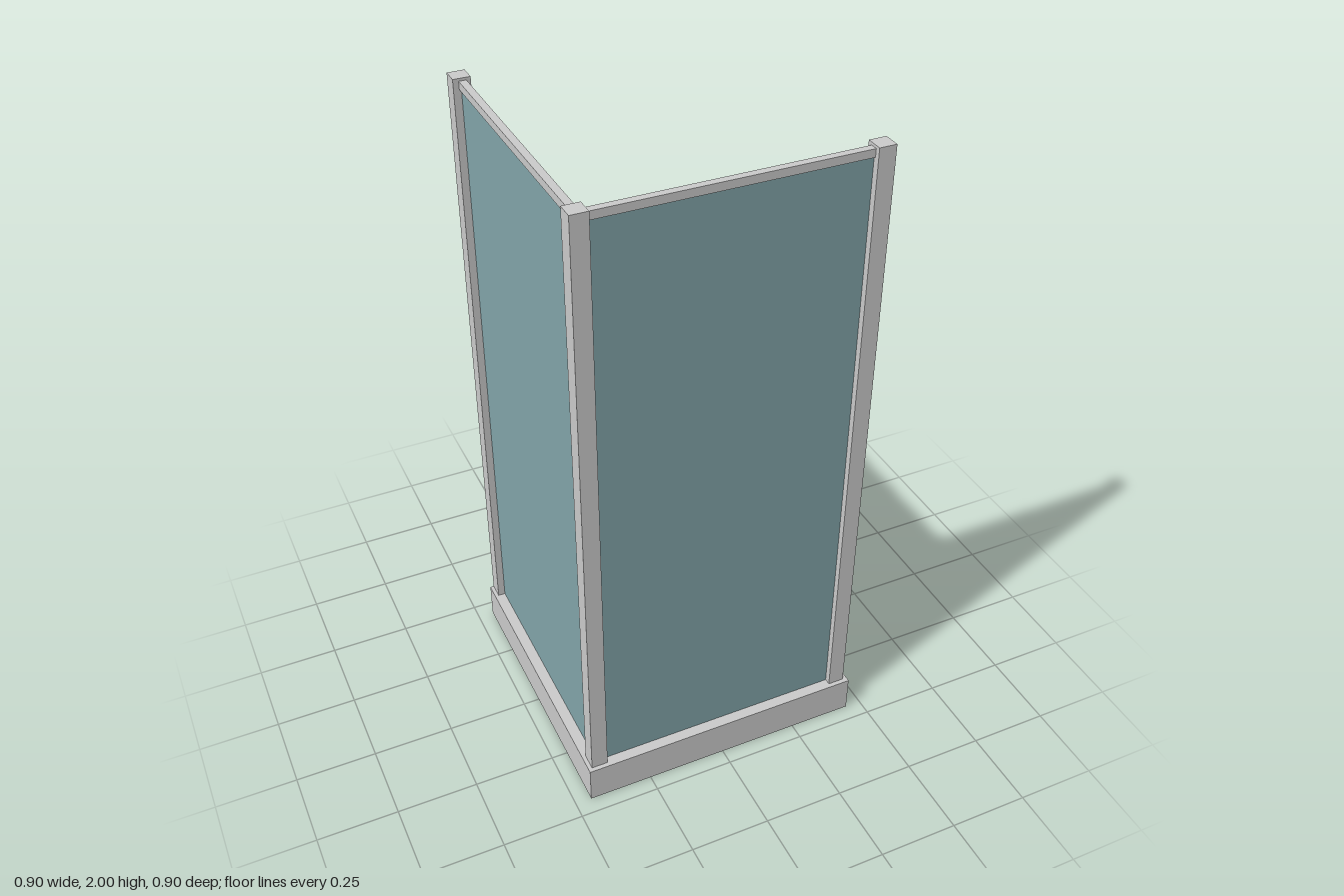
import * as THREE from 'three';

export function createModel() {
  const group = new THREE.Group();
  const mat = (color) => new THREE.MeshStandardMaterial({ color });
  const grey = mat(0xcccccc);
  const glass = mat(0x82a5aa);
  const dark = mat(0x333333);

  const add = (name, geometry, material, x, y, z) => {
    const mesh = new THREE.Mesh(geometry, material);
    mesh.name = name;
    mesh.position.set(x, y, z);
    group.add(mesh);
    return mesh;
  };
  // Box given by its min and max corners
  const box = (name, material, [x0, y0, z0], [x1, y1, z1]) =>
    add(name, new THREE.BoxGeometry(x1 - x0, y1 - y0, z1 - z0), material,
      (x0 + x1) / 2, (y0 + y1) / 2, (z0 + z1) / 2);

  const outer = 0.4495, inner = 0.3745; // half widths of tray and basin
  const rimTop = 0.12, floorTop = 0.07, top = 2;

  // Tray rim: square ring around the basin
  const square = (shape, h) =>
    shape.moveTo(-h, -h).lineTo(h, -h).lineTo(h, h).lineTo(-h, h).closePath();
  const ring = square(new THREE.Shape(), outer);
  ring.holes.push(square(new THREE.Path(), inner));
  const rim = new THREE.ExtrudeGeometry(ring, { depth: rimTop, bevelEnabled: false });
  rim.rotateX(-Math.PI / 2);
  add('trayRim', rim, grey, 0, 0, 0);

  // Basin underside, dark floor and drain
  box('trayBase', grey, [-inner, 0, -inner], [inner, 0.06, inner]);
  box('basinFloor', dark, [-inner, 0.06, -inner], [inner, floorTop, inner]);
  add('drain', new THREE.CylinderGeometry(0.041, 0.041, 0.018, 10), grey, 0.234, floorTop + 0.009, -0.246);

  // Corner posts
  const post = 0.051, edge = 0.41; // post width, centre line of both walls
  const backZ = -outer + post / 2;
  for (const [name, x, z] of [
    ['frontRightPost', -edge - 0.002, edge],
    ['frontLeftPost', edge, edge],
    ['backRightPost', -edge - 0.002, backZ],
  ]) {
    add(name, new THREE.BoxGeometry(post, top - rimTop, post), grey, x, (top + rimTop) / 2, z);
  }

  // Glass walls, each capped by a slim rail between its posts
  const half = post / 2, railTop = 1.992, railBottom = 1.968;
  const r = 0.011, g = 0.005; // half thickness of rail and glass
  const x0 = -edge + half - 0.002, x1 = edge - half;
  box('frontGlass', glass, [x0, rimTop, edge - g], [x1, railBottom, edge + g]);
  box('frontRail', grey, [x0, railBottom, edge - r], [x1, railTop, edge + r]);
  const z0 = backZ + half, z1 = edge - half;
  box('sideGlass', glass, [-edge - g, rimTop, z0], [-edge + g, railBottom, z1]);
  box('sideRail', grey, [-edge - r, railBottom, z0], [-edge + r, railTop, z1]);

  return group;
}
